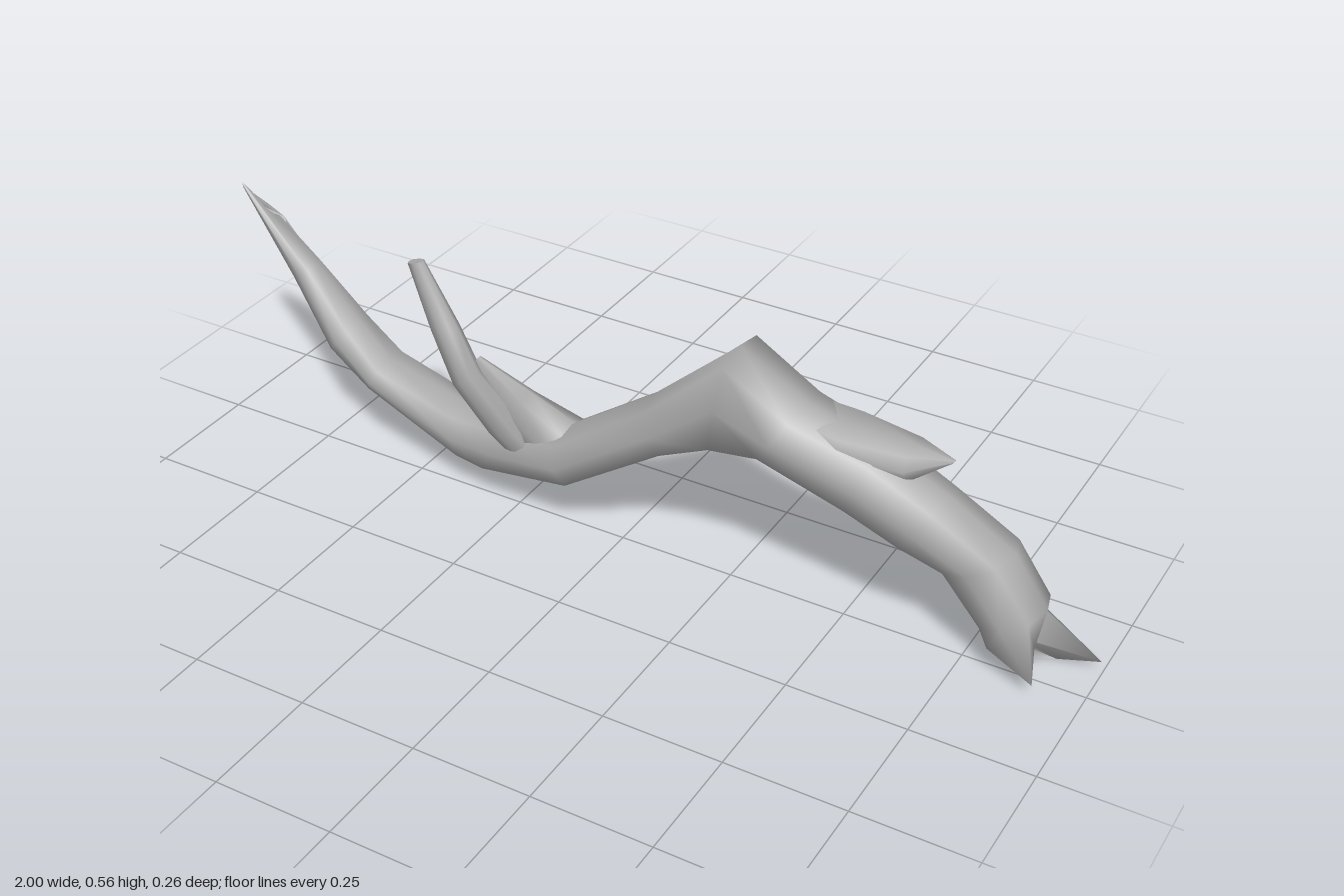
import * as THREE from 'three';

const SIDES = 8;

// Ring from its upper point, lower point and depth range; a low box value squares it off.
function ring([ux, uy, lx, ly, z0, z1, box = 0.8]) {
  const pts = [];
  for (let j = 0; j < SIDES; j++) {
    const a = (j / SIDES) * Math.PI * 2;
    const shape = (v) => (Math.abs(v) < 1e-6 ? 0 : Math.sign(v) * Math.abs(v) ** box);
    const s = shape(Math.sin(a)), c = shape(Math.cos(a));
    pts.push([
      (ux + lx) / 2 + ((ux - lx) / 2) * s,
      (uy + ly) / 2 + ((uy - ly) / 2) * s,
      (z0 + z1) / 2 + ((z1 - z0) / 2) * c,
    ]);
  }
  return pts;
}

// Skin a row of rings, with a flat cap on the first one.
function loft(name, rings, material) {
  const pos = rings.flat(2), index = [];
  for (let i = 0; i < rings.length - 1; i++) {
    for (let j = 0; j < SIDES; j++) {
      const k = (j + 1) % SIDES;
      const a = i * SIDES + j, d = i * SIDES + k;
      index.push(a, a + SIDES, d, d, a + SIDES, d + SIDES);
    }
  }
  const first = rings[0], base = pos.length / 3;
  pos.push(...first.flat());
  for (let j = 1; j < SIDES - 1; j++) index.push(base, base + j, base + j + 1);
  const geo = new THREE.BufferGeometry();
  geo.setAttribute('position', new THREE.Float32BufferAttribute(pos, 3));
  geo.setIndex(index);
  geo.computeVertexNormals();
  const mesh = new THREE.Mesh(geo, material);
  mesh.name = name;
  return mesh;
}

export function createModel() {
  const group = new THREE.Group();
  group.name = 'driftwoodBranch';
  const wood = new THREE.MeshStandardMaterial({ color: 0xaaaaaa, side: THREE.DoubleSide });
  wood.name = 'greyWood';

  // Raised tip, cut off at a slant towards the back
  const tip = [
    [-0.998, 0.505, -0.09], [-1, 0.518, -0.089], [-1, 0.5, -0.105], [-1, 0.476, -0.123],
    [-0.96, 0.455, -0.128], [-0.925, 0.436, -0.13], [-0.96, 0.455, -0.115], [-0.985, 0.48, -0.1],
  ];
  // Main limb, from the tip to the split end
  const limb = [
    [-0.81, 0.372, -0.86, 0.338, -0.115, -0.05],
    [-0.68, 0.285, -0.74, 0.215, -0.105, 0.0],
    [-0.59, 0.23, -0.62, 0.165, -0.095, 0.03],
    [-0.4, 0.19, -0.39, 0.07, -0.085, 0.04],
    [-0.25, 0.2, -0.33, 0.066, -0.075, 0.05],
    [-0.13, 0.235, -0.09, 0.125, -0.065, 0.09],
    [0.08, 0.385, 0.13, 0.275, -0.057, 0.095],
    [0.27, 0.558, 0.24, 0.34, -0.05, 0.108, 0.4],
    [0.42, 0.485, 0.34, 0.36, -0.05, 0.128],
    [0.57, 0.435, 0.52, 0.29, -0.05, 0.108],
    [0.7, 0.36, 0.62, 0.238, -0.06, 0.09],
    [0.83, 0.26, 0.695, 0.2, -0.087, 0.063],
    [0.9, 0.155, 0.775, 0.1, -0.09, 0.055],
  ].map(ring);
  // Jagged end with two long splinters, closed by a recessed face
  const jagged = [
    [0.91, 0.03, 0.055], [0.9, 0.1, 0.035], [0.875, 0.09, 0], [0.875, 0.13, -0.055],
    [0.995, 0.02, -0.09], [0.91, 0, -0.08], [0.86, 0.02, -0.03], [0.81, 0.068, 0.04],
  ];
  const recess = ring([0.86, 0.07, 0.85, 0.05, -0.03, 0.01]);
  const heart = ring([0.855, 0.06, 0.855, 0.06, -0.01, -0.01]);
  group.add(loft('mainLimb', [tip, ...limb, jagged, recess, heart], wood));

  // Upright twig, sinking into the limb
  group.add(loft('twig', [
    [-0.425, 0.555, -0.46, 0.545, 0.045, 0.07],
    [-0.335, 0.44, -0.395, 0.425, 0.055, 0.1],
    [-0.285, 0.35, -0.34, 0.315, 0.055, 0.11],
    [-0.2, 0.22, -0.285, 0.205, 0.0, 0.08],
    [-0.175, 0.14, -0.235, 0.12, -0.01, 0.035],
  ].map(ring), wood));

  // Thin web of wood bracing the twig
  group.add(loft('twigWeb', [
    [-0.3, 0.372, -0.315, 0.34, 0.045, 0.07],
    [-0.2, 0.305, -0.26, 0.2, -0.005, 0.06],
    [-0.1, 0.245, -0.17, 0.13, -0.05, 0.06],
  ].map(ring), wood));

  // Broken splinter lifting off the top of the bend
  group.add(loft('splinter', [
    [0.4, 0.475, 0.41, 0.4, -0.035, 0.09],
    [0.5, 0.462, 0.51, 0.39, -0.042, 0.098, 0.6],
    [0.62, 0.446, 0.625, 0.375, -0.042, 0.06],
    [0.7, 0.43, 0.695, 0.422, -0.003, 0.003],
  ].map(ring), wood));

  return group;
}
